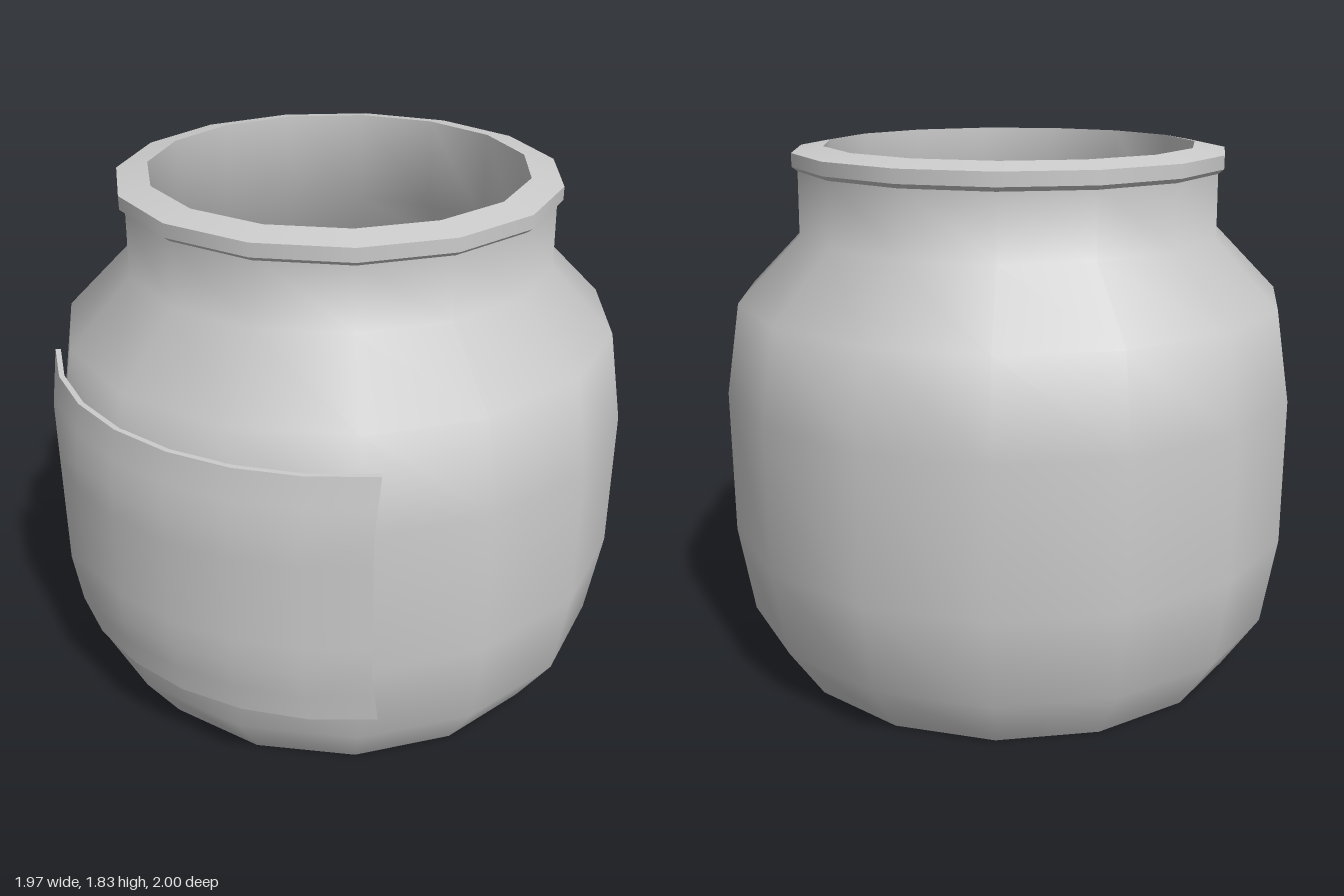
import * as THREE from 'three';

const SIDES = 15;
const material = new THREE.MeshStandardMaterial({ color: 0xcccccc });

// Smooth fifteen-sided surface of revolution with a corner on +x
function turned(name, points) {
  const profile = points.map(([r, y]) => new THREE.Vector2(r, y));
  const mesh = new THREE.Mesh(new THREE.LatheGeometry(profile, SIDES, Math.PI / 2), material);
  mesh.name = name;
  return mesh;
}

// One turned band per profile step, so the edges between them stay sharp
function sharpTurned(name, points) {
  const group = new THREE.Group();
  group.name = name;
  for (let i = 1; i < points.length; i++) {
    group.add(turned(name + 'Band', [points[i - 1], points[i]]));
  }
  return group;
}

// Thin panel wrapped round the front, following the belly's bulge
function createLabel() {
  const radius = 1.015, thickness = 0.018, halfAngle = 0.767;
  const geometry = new THREE.BoxGeometry(2, 0.9, thickness, 7, 9, 1);
  const p = geometry.attributes.position;
  for (let i = 0; i < p.count; i++) {
    const angle = p.getX(i) * halfAngle;
    const y = p.getY(i) + 0.75;
    const r = radius + p.getZ(i) - thickness / 2;
    const inset = 0.175 * Math.max(0, y - 1, 0.5 - y);
    p.setXYZ(i, r * Math.sin(angle), y, r * Math.cos(angle) - inset);
  }
  geometry.computeVertexNormals();
  const mesh = new THREE.Mesh(geometry, material);
  mesh.name = 'label';
  return mesh;
}

export function createModel() {
  const jar = new THREE.Group();
  jar.name = 'jar';

  // Outer wall: rounded belly, sloping shoulder, straight neck
  jar.add(turned('body', [
    [0.82, 0], [0.946, 0.19], [0.996, 0.5], [0.996, 1.0],
    [0.946, 1.31], [0.73, 1.53], [0.727, 1.75],
  ]));

  // Flat underside
  jar.add(turned('base', [[0, 0], [0.82, 0]]));

  // Lip: underside, edge and gently raised top
  jar.add(sharpTurned('rim', [
    [0.727, 1.745], [0.746, 1.76], [0.746, 1.805], [0.64, 1.825],
  ]));

  // Hollow inside and its floor
  jar.add(turned('innerWall', [
    [0.64, 1.825], [0.64, 1.5], [0.86, 1.27], [0.91, 1.0],
    [0.91, 0.5], [0.86, 0.22], [0.76, 0.06],
  ]));
  jar.add(turned('innerFloor', [[0.76, 0.06], [0, 0.06]]));

  jar.add(createLabel());

  // Centre the footprint
  jar.position.set(-0.01, 0, -0.01);
  const model = new THREE.Group();
  model.add(jar);
  return model;
}
